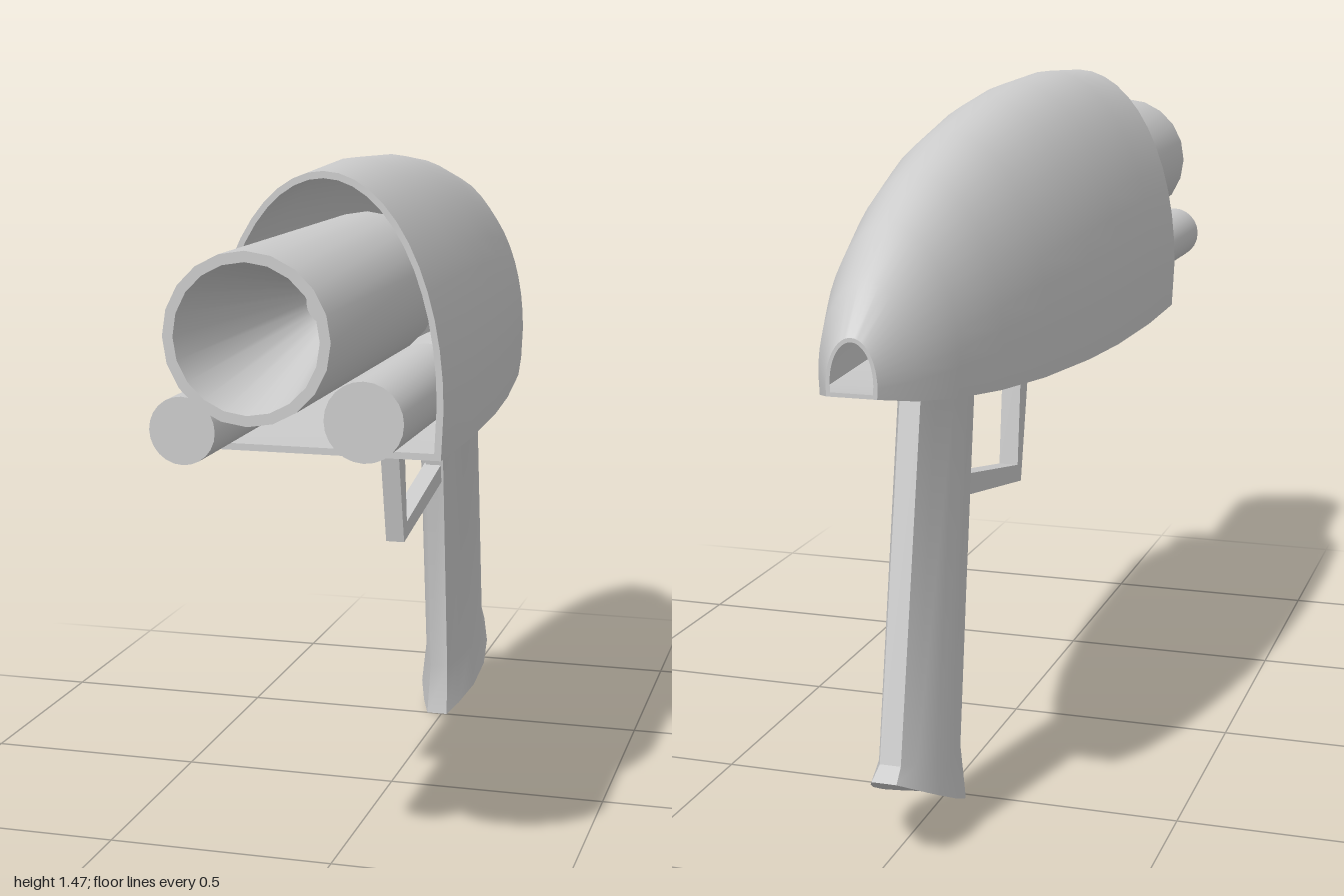
import * as THREE from 'three';
import { toCreasedNormals } from 'three/addons/utils/BufferGeometryUtils.js';

const material = new THREE.MeshStandardMaterial({ color: 0xcccccc });

function part(name, geometry, crease = 0.6) {
  const mesh = new THREE.Mesh(toCreasedNormals(geometry, crease), material);
  mesh.name = name;
  return mesh;
}

// Skin a list of equal-length rings; either loop the rings or cap both ends
function loft(rings, loop) {
  const n = rings[0].length, m = rings.length;
  const positions = rings.flat(2), index = [];
  for (let i = 0; i < (loop ? m : m - 1); i++) {
    for (let j = 0; j < n; j++) {
      const k = (j + 1) % n, next = ((i + 1) % m) * n;
      const a = i * n + j, b = i * n + k, c = next + k, d = next + j;
      index.push(a, b, c, a, c, d);
    }
  }
  if (!loop) {
    [0, m - 1].forEach((r, end) => {
      const centre = positions.length / 3;
      for (let q = 0; q < 3; q++) positions.push(rings[r].reduce((s, p) => s + p[q], 0) / n);
      for (let j = 0; j < n; j++) {
        const a = r * n + j, b = r * n + (j + 1) % n;
        index.push(centre, end ? a : b, end ? b : a);
      }
    });
  }
  const g = new THREE.BufferGeometry();
  g.setAttribute('position', new THREE.Float32BufferAttribute(positions, 3));
  g.setIndex(index);
  return g;
}

// Flat-bottomed arch section of the body
function archRing(z, w, bottom, top) {
  const spring = bottom + 0.18 * (top - bottom), ring = [[w * 0.98, bottom, z]];
  for (let i = 0; i <= 24; i++) {
    const a = Math.PI * i / 24;
    ring.push([w * Math.cos(a), spring + (top - spring) * Math.sin(a), z]);
  }
  ring.push([-w * 0.98, bottom, z]);
  return ring;
}

// Round part along z, turned from [radius, z] points
function turned(name, points, x, y, segments) {
  const g = new THREE.LatheGeometry(points.map(p => new THREE.Vector2(...p)), segments);
  g.rotateX(Math.PI / 2);
  g.translate(x, y, 0);
  return part(name, g);
}

export function createModel() {
  const model = new THREE.Group();
  model.name = 'blaster';

  // Hollow body: z, half width, bottom, top
  const stations = [
    [-1, 0.05, 0.97, 1.08], [-0.92, 0.097, 0.953, 1.17], [-0.8, 0.137, 0.936, 1.257],
    [-0.64, 0.172, 0.92, 1.333], [-0.45, 0.204, 0.908, 1.395], [-0.2, 0.23, 0.898, 1.443],
    [0, 0.243, 0.894, 1.465], [0.27, 0.249, 0.893, 1.475], [0.52, 0.245, 0.895, 1.463],
  ];
  const outer = stations.map(s => archRing(...s));
  const inner = stations.map(([z, w, b, t]) => {
    const wall = 0.012 + 0.004 * z;
    return archRing(z, w - wall, b + wall, t - wall);
  }).reverse();
  model.add(part('body', loft([...outer, ...inner], true)));

  // Barrel with a tapering bore, and two rods beneath it
  model.add(turned('barrel', [[0, 0.2], [0.157, 0.2], [0.157, 1], [0.137, 1], [0.043, 0.5], [0, 0.5]], 0, 1.2, 20));
  model.add(turned('rightRod', [[0, 0.2], [0.064, 0.2], [0.064, 0.93], [0, 0.93]], -0.15, 1.015, 24));
  model.add(turned('leftRod', [[0, 0.2], [0.08, 0.2], [0.08, 0.695], [0, 0.695]], 0.13, 1.0, 24));

  // Grip: front z, y, back z, y, half width, sideways offset, sag
  const spread = [[0, 0.022], [0.12, 0.04], [0.3, 0.06], [0.5, 0.068], [0.7, 0.06], [0.88, 0.04], [1, 0.022]];
  const gripRing = ([fz, fy, bz, by, w, cx, sag]) => {
    const point = (t, side) => {
      const half = spread.find(s => s[0] === t)[1] * w / 0.068;
      return [cx + side * half, fy + (by - fy) * t - sag * Math.sin(Math.PI * t), fz + (bz - fz) * t];
    };
    return [...spread.map(s => point(s[0], 1)), ...[...spread].reverse().map(s => point(s[0], -1))];
  };
  model.add(part('grip', loft([
    [-0.5, 0.005, -0.9, 0.19, 0.079, -0.012, 0.012],
    [-0.515, 0.13, -0.862, 0.212, 0.067, -0.011, 0],
    [-0.365, 0.86, -0.675, 0.915, 0.067, 0.007, 0],
    [-0.27, 0.9, -0.69, 0.935, 0.078, 0.007, 0],
  ].map(gripRing), false), 0.5));

  // Trigger guard: bent strip in the z-y plane
  const outline = [[0.03, 0.905], [-0.045, 0.575], [-0.43, 0.642], [-0.43, 0.688], [-0.07, 0.618], [-0.037, 0.905]];
  const guard = new THREE.ExtrudeGeometry(
    new THREE.Shape(outline.map(([z, y]) => new THREE.Vector2(-z, y))),
    { depth: 0.043, bevelEnabled: false });
  guard.rotateY(Math.PI / 2);
  guard.translate(-0.025, 0, 0);
  model.add(part('triggerGuard', guard));

  return model;
}
